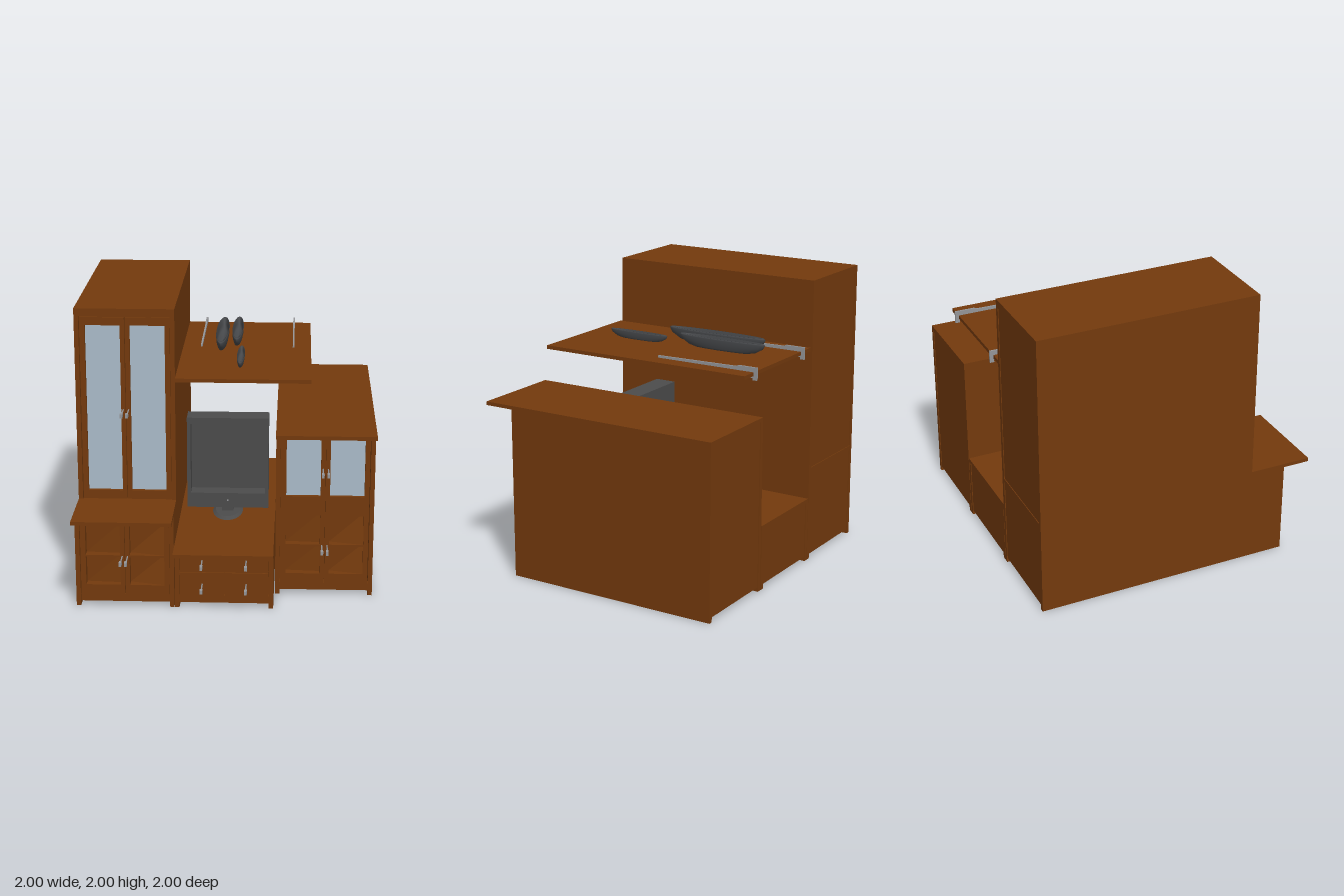
import * as THREE from 'three';

const mat = (name, color, side = THREE.FrontSide) => {
  const m = new THREE.MeshStandardMaterial({ color, side });
  m.name = name;
  return m;
};

export function createModel() {
  const root = new THREE.Group();
  root.name = 'wallUnit';
  const wood = mat('wood', 0x743a0d);
  const woodPanel = mat('woodPanel', 0x743a0d, THREE.DoubleSide);
  const glass = mat('glass', 0xabbcca);
  const metal = mat('metal', 0x959699);
  const plastic = mat('darkPlastic', 0x4c4c4c);
  const ceramic = mat('darkCeramic', 0x484a4d, THREE.DoubleSide);

  const add = (parent, name, geo, material) => {
    const m = new THREE.Mesh(geo, material);
    m.name = name;
    parent.add(m);
    return m;
  };
  // Box given by its limits on each axis
  const box = (parent, name, material, x0, x1, y0, y1, z0, z1) => {
    const g = new THREE.BoxGeometry(x1 - x0, y1 - y0, z1 - z0);
    g.translate((x0 + x1) / 2, (y0 + y1) / 2, (z0 + z1) / 2);
    return add(parent, name, g, material);
  };
  const rect = (P, x0, x1, y0, y1) => {
    const p = new P();
    p.moveTo(x0, y0).lineTo(x1, y0).lineTo(x1, y1).lineTo(x0, y1).closePath();
    return p;
  };
  // Plate with rectangular openings
  const frame = (parent, name, material, outer, holes, z0, z1) => {
    const s = rect(THREE.Shape, ...outer);
    s.holes = holes.map(h => rect(THREE.Path, ...h));
    const g = new THREE.ExtrudeGeometry(s, { depth: z1 - z0, bevelEnabled: false });
    g.translate(0, 0, z0);
    return add(parent, name, g, material);
  };
  const group = name => {
    const g = new THREE.Group();
    g.name = name;
    root.add(g);
    return g;
  };
  // Long pull: thin rod with a square knob
  const handle = (parent, x, y, z) => {
    const rod = new THREE.CylinderGeometry(0.005, 0.005, 0.12, 8);
    rod.rotateX(Math.PI / 2).translate(x, y, z + 0.06);
    add(parent, 'handleRod', rod, metal);
    box(parent, 'handleKnob', metal, x - 0.009, x + 0.009, y - 0.013, y + 0.013, z + 0.11, z + 0.148);
  };
  // Inset panel; the tilted kind has its lower right corner pulled forward
  const insetPanel = (parent, [x0, x1, y0, y1], z, pull) => {
    const g = new THREE.BufferGeometry();
    g.setAttribute('position', new THREE.Float32BufferAttribute([
      x0, y0, z, x1, y0, z + pull, x1, y1, z,
      x0, y0, z, x1, y1, z, x0, y1, z], 3));
    g.computeVertexNormals();
    add(parent, 'insetPanel', g, woodPanel);
  };
  // Carcass: side panels to the floor, raised body and plinth
  const carcass = (parent, x0, x1, top, zFront, floor, inset) => {
    for (const [a, b] of [[x0, x0 + 0.03], [x1 - 0.03, x1]])
      box(parent, 'sidePanel', wood, a, b, floor, top, -0.99, zFront);
    const y0 = floor === 0 ? 0.03 : floor;
    box(parent, 'body', wood, x0 + 0.03, x1 - 0.03, y0, top, -0.985, zFront - inset);
    if (floor === 0) box(parent, 'plinth', wood, x0 + 0.03, x1 - 0.03, 0.03, 0.08, zFront - inset, zFront - 0.015);
  };
  // Pair of doors, with glazed and panelled openings
  const doors = (parent, x0, y0, y1, z, glassY, panelled, handleYs) => {
    const cx = x0 + 0.333;
    [[x0 + 0.035, cx - 0.002, x0 + 0.07, x0 + 0.302],
     [cx + 0.002, x0 + 0.63, x0 + 0.365, x0 + 0.597]].forEach(([a, b, h0, h1], i) => {
      const panels = panelled ? [[h0, h1, 0.155, 0.355], [h0, h1, 0.368, 0.578]] : [];
      const panes = glassY ? [[h0, h1, ...glassY]] : [];
      frame(parent, 'door', wood, [a, b, y0, y1], [...panels, ...panes], z - 0.07, z);
      panels.forEach(p => insetPanel(parent, p, z - 0.06, i ? 0.055 : 0.015));
      panes.forEach(p => box(parent, 'glassPane', glass, ...p, z - 0.035, z - 0.027));
      handleYs.forEach(y => handle(parent, cx + (i ? 0.018 : -0.018), y, z));
    });
  };

  // Low cupboard carrying the tall cabinet
  const base = group('leftBaseCabinet');
  carcass(base, -1, -0.338, 0.65, 0.81, 0, 0.08);
  box(base, 'counterTop', wood, -1, -0.338, 0.65, 0.675, -0.99, 1);
  doors(base, -1, 0.085, 0.645, 0.81, null, true, [0.36]);

  // Tall glazed cabinet
  const tall = group('tallCabinet');
  carcass(tall, -1, -0.338, 1.945, 0.56, 0.675, 0.08);
  box(tall, 'topPanel', wood, -1, -0.338, 1.945, 2, -0.99, 0.56);
  doors(tall, -1, 0.68, 1.942, 0.56, [0.74, 1.888], false, [1.31]);

  // Right cabinet with glazed and panelled doors
  const right = group('rightCabinet');
  carcass(right, 0.336, 1, 1.185, 0.56, 0, 0.08);
  box(right, 'counterTop', wood, 0.336, 1, 1.185, 1.21, -0.99, 0.77);
  doors(right, 0.336, 0.085, 1.178, 0.56, [0.715, 1.115], true, [0.36, 0.91]);

  // Drawer chest in the middle
  const chest = group('drawerChest');
  carcass(chest, -0.333, 0.328, 0.43, 0.81, 0, 0.05);
  box(chest, 'counterTop', wood, -0.333, 0.328, 0.43, 0.455, -0.99, 1);
  for (const [x0, x1, hx] of [[-0.3, -0.004, -0.15], [0, 0.296, 0.145]])
    for (const [y0, y1, hy] of [[0.085, 0.252, 0.17], [0.256, 0.425, 0.34]]) {
      box(chest, 'drawerFront', wood, x0, x1, y0, y1, 0.75, 0.81);
      handle(chest, hx, hy, 0.81);
    }

  // Wall shelf with brackets
  const shelf = group('wallShelf');
  box(shelf, 'shelfBoard', wood, -0.338, 0.565, 1.51, 1.535, -0.975, 0.577);
  const profile = new THREE.Shape();
  [[0.25, 1.475], [0.34, 1.478], [0.36, 1.488], [0.97, 1.497], [0.97, 1.482], [1, 1.482], [1, 1.567],
    [0.86, 1.567], [0.84, 1.558], [0.25, 1.55]].forEach(([u, y], i) => i ? profile.lineTo(u, y) : profile.moveTo(u, y));
  for (const x of [-0.208, 0.442]) {
    const g = new THREE.ExtrudeGeometry(profile, { depth: 0.012, bevelEnabled: false });
    g.rotateY(Math.PI / 2).translate(x - 0.006, 0, 0);
    add(shelf, 'shelfBracket', g, metal);
  }

  // Long oval bowls on the shelf
  const bowlProfile = [[0, 0], [0.62, 0], [0.78, 0.15], [0.95, 0.55], [1, 0.9], [0.97, 1], [0.88, 1],
    [0.8, 0.6], [0.68, 0.22], [0, 0.18]].map(p => new THREE.Vector2(...p));
  for (const [x, z, rx, h, rz] of [[-0.064, -0.4, 0.046, 0.09, 0.38],
    [0.041, -0.5, 0.04, 0.08, 0.333], [0.084, 0.14, 0.027, 0.055, 0.233]]) {
    const bowl = add(shelf, 'bowl', new THREE.LatheGeometry(bowlProfile, 28), ceramic);
    bowl.scale.set(rx, h, rz);
    bowl.position.set(x, 1.535, z);
  }

  // Television on its stand
  const tv = group('television');
  frame(tv, 'bezel', plastic, [-0.285, 0.28, 0.505, 1.157], [[-0.26, 0.255, 0.61, 1.113]], 0.12, 0.23);
  box(tv, 'screenAndBack', plastic, -0.285, 0.28, 0.505, 1.157, 0.08, 0.12);
  box(tv, 'powerButton', metal, -0.007, 0.002, 0.552, 0.562, 0.23, 0.235);
  box(tv, 'standNeck', plastic, -0.045, 0.036, 0.465, 0.505, 0.1, 0.2);
  const foot = add(tv, 'standFoot', new THREE.CylinderGeometry(0.085, 0.105, 0.014, 28), plastic);
  foot.scale.z = 1.9;
  foot.position.set(-0.004, 0.462, 0.15);

  return root;
}
